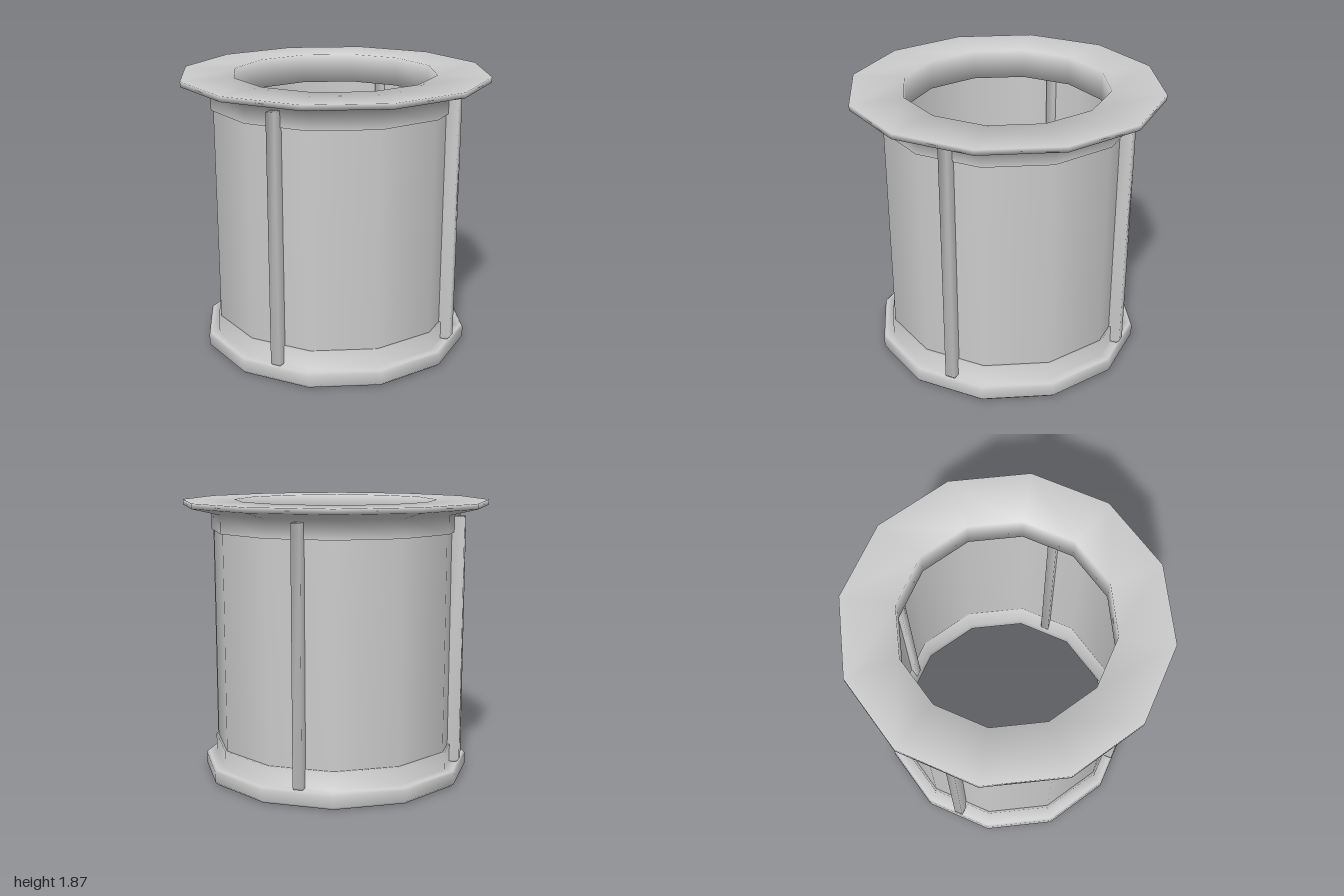
import * as THREE from 'three';
import { mergeVertices } from 'three/addons/utils/BufferGeometryUtils.js';

const SIDES = 12;
const FLAT = 1 / Math.cos(Math.PI / SIDES); // flat-to-flat radius -> corner radius

export function createModel() {
  const group = new THREE.Group();
  const material = new THREE.MeshStandardMaterial({ color: 0xcccccc, side: THREE.DoubleSide });

  // Twelve-sided ring turned from a closed [radius, height] profile
  const ring = (name, profile) => {
    const points = [...profile, profile[0]].map(([r, y]) => new THREE.Vector2(r * FLAT, y));
    const geometry = new THREE.LatheGeometry(points, SIDES, Math.PI / SIDES);
    const mesh = new THREE.Mesh(geometry, material);
    mesh.name = name;
    group.add(mesh);
  };

  // Base ring with softened edges and a raised collar around the wall
  ring('baseRing', [
    [0.865, 0], [0.885, 0.02], [0.885, 0.09], [0.87, 0.105],
    [0.815, 0.105], [0.815, 0.225], [0.78, 0.225],
    [0.745, 0.09], [0.745, 0.02], [0.765, 0],
  ]);

  // Thin tubular wall
  ring('wall', [[0.8, 0.1], [0.8, 1.75], [0.785, 1.75], [0.785, 0.1]]);

  // Top ring: collar, flared underside and wide flat rim
  ring('topRing', [
    [0.815, 1.67], [0.815, 1.79], [1, 1.835], [1, 1.87], [0.66, 1.87], [0.66, 1.67],
  ]);

  // Upright bars, passing through the wall, with a chamfered foot
  const width = 0.06;
  const side = new THREE.Shape([
    [0.75, 0.1], [0.86, 0.1], [0.882, 0.125], [0.882, 1.775], [0.75, 1.775],
  ].map(([r, y]) => new THREE.Vector2(r, y)));
  let bar = new THREE.ExtrudeGeometry(side, { depth: width, bevelEnabled: false });
  bar.translate(0, 0, -width / 2);
  bar.deleteAttribute('normal');
  bar.deleteAttribute('uv');
  bar = mergeVertices(bar);
  bar.computeVertexNormals();
  for (let i = 0; i < 4; i++) {
    const mesh = new THREE.Mesh(bar, material);
    mesh.name = `uprightBar${i + 1}`;
    mesh.rotation.y = (i * Math.PI) / 2;
    group.add(mesh);
  }

  return group;
}
